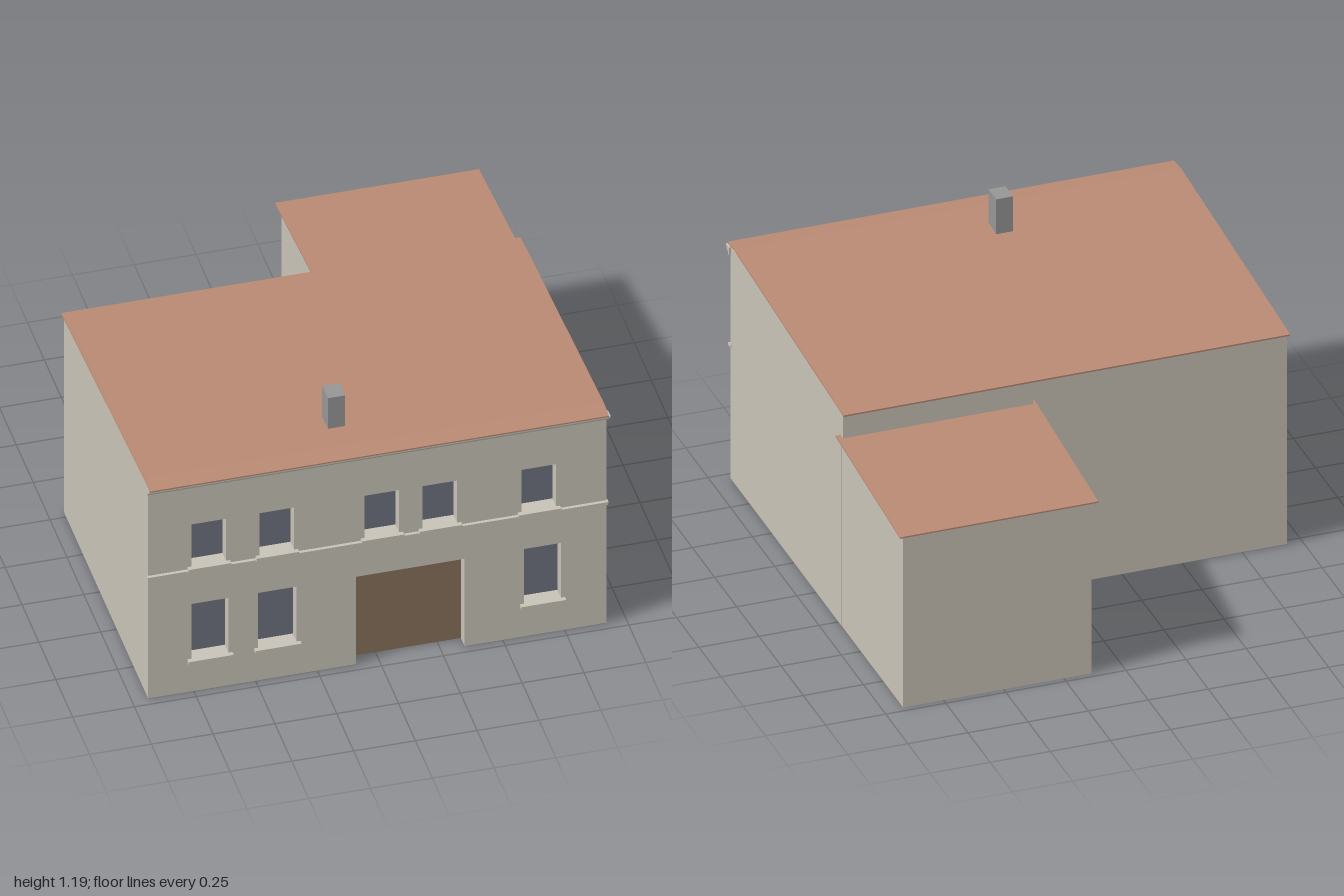
import * as THREE from 'three';

const mat = (name, color) => {
  const m = new THREE.MeshStandardMaterial({ color });
  m.name = name;
  return m;
};

export function createModel() {
  const group = new THREE.Group();
  const wall = mat('plaster', 0xc8c3b7);
  const roof = mat('roof tile', 0xb98a74);
  const glass = mat('window glass', 0x6d727d);
  const wood = mat('door wood', 0x86705a);
  const grey = mat('concrete', 0x969696);

  const add = (name, geometry, material) => {
    const mesh = new THREE.Mesh(geometry, material);
    mesh.name = name;
    group.add(mesh);
    return mesh;
  };
  const box = (name, x0, x1, y0, y1, z0, z1, material) =>
    add(name, new THREE.BoxGeometry(x1 - x0, y1 - y0, z1 - z0), material)
      .position.set((x0 + x1) / 2, (y0 + y1) / 2, (z0 + z1) / 2);
  const shapeOf = (pts) => new THREE.Shape(pts.map(([x, y]) => new THREE.Vector2(x, y)));
  // Side profile of [z, y] points, drawn out from x0 to x1
  const profile = (name, pts, x0, x1, material) => {
    const g = new THREE.ExtrudeGeometry(shapeOf(pts.map(([z, y]) => [-z, y])), { depth: x1 - x0, bevelEnabled: false });
    return add(name, g.rotateY(Math.PI / 2).translate(x0, 0, 0), material);
  };

  const L = -0.935, R = 0.92, front = 0.965, inner = 0.905, back = -0.28, base = 0.002;
  const door = [-0.095, 0.345, 0.43];
  const upper = [[-0.76, -0.62], [-0.485, -0.345], [-0.06, 0.08], [0.175, 0.315], [0.575, 0.715]]
    .map(([a, b]) => [a, b, 0.612, 0.82]);
  const lower = [[-0.76, -0.61], [-0.49, -0.335], [0.585, 0.735]].map(([a, b]) => [a, b, 0.16, 0.43]);
  const windows = [...upper, ...lower];

  // Main block behind the facade, and the lower rear wing
  profile('mainBlock', [[back, base], [inner, base], [inner, 1.043], [back, 0.953]], L, R, wall);
  profile('rearWing', [[-0.975, 0], [back, 0], [back, 0.845], [-0.975, 0.776]], 0.135, 0.918, wall);
  profile('upperRearWall', [[-0.303, 0.842], [back, 0.842], [back, 0.953], [-0.303, 0.951]], 0.13, R, wall);

  // Facade with a door notch and window openings
  const facade = shapeOf([[L, base], [door[0], base], [door[0], door[2]], [door[1], door[2]],
    [door[1], base], [R, base], [R, 1.038], [L, 1.038]]);
  for (const [a, b, y0, y1] of windows) {
    facade.holes.push(shapeOf([[a, y0], [a, y1], [b, y1], [b, y0]]));
  }
  add('facade', new THREE.ExtrudeGeometry(facade, { depth: front - inner, bevelEnabled: false })
    .translate(0, 0, inner), wall);

  // Floor slab follows the door notch
  const floor = shapeOf([[L, -back], [R, -back], [R, -front], [door[1], -front], [door[1], -inner],
    [door[0], -inner], [door[0], -front], [L, -front]]);
  add('floor', new THREE.ExtrudeGeometry(floor, { depth: base, bevelEnabled: false }).rotateX(-Math.PI / 2), grey);

  // Door, panes and sills set into the facade
  box('door', door[0], door[1], base, door[2], inner, inner + 0.005, wood);
  for (const [a, b, y0, y1] of windows) {
    box('windowPane', a, b, y0, y1, inner, inner + 0.005, glass);
    box('windowSill', a - 0.016, b + 0.016, y0 - 0.013, y0 + 0.002, front - 0.03, 0.985, wall);
  }

  // String course and moulded cornice
  box('stringCourse', L - 0.004, R + 0.004, 0.59, 0.603, front - 0.01, 0.979, wall);
  profile('cornice', [[0.96, 1.003], [0.972, 1.003], [0.975, 1.014], [0.986, 1.017], [0.99, 1.026],
    [0.998, 1.029], [0.998, 1.037], [0.96, 1.037]], L - 0.005, R + 0.007, wall);

  // Thin roofs
  profile('mainRoof', [[-0.31, 0.957], [0.92, 1.05], [1, 1.042], [1, 1.036], [0.92, 1.043], [-0.31, 0.95]],
    L - 0.003, R, roof);
  profile('wingRoof', [[-1, 0.78], [-0.275, 0.853], [-0.275, 0.846], [-1, 0.774]], 0.115, 0.94, roof);
  box('wingEave', 0.12, 0.935, 0.774, 0.781, -0.985, -0.92, wall);

  box('chimney', -0.16, -0.09, 1.0, 1.19, 0.705, 0.79, grey);
  return group;
}
